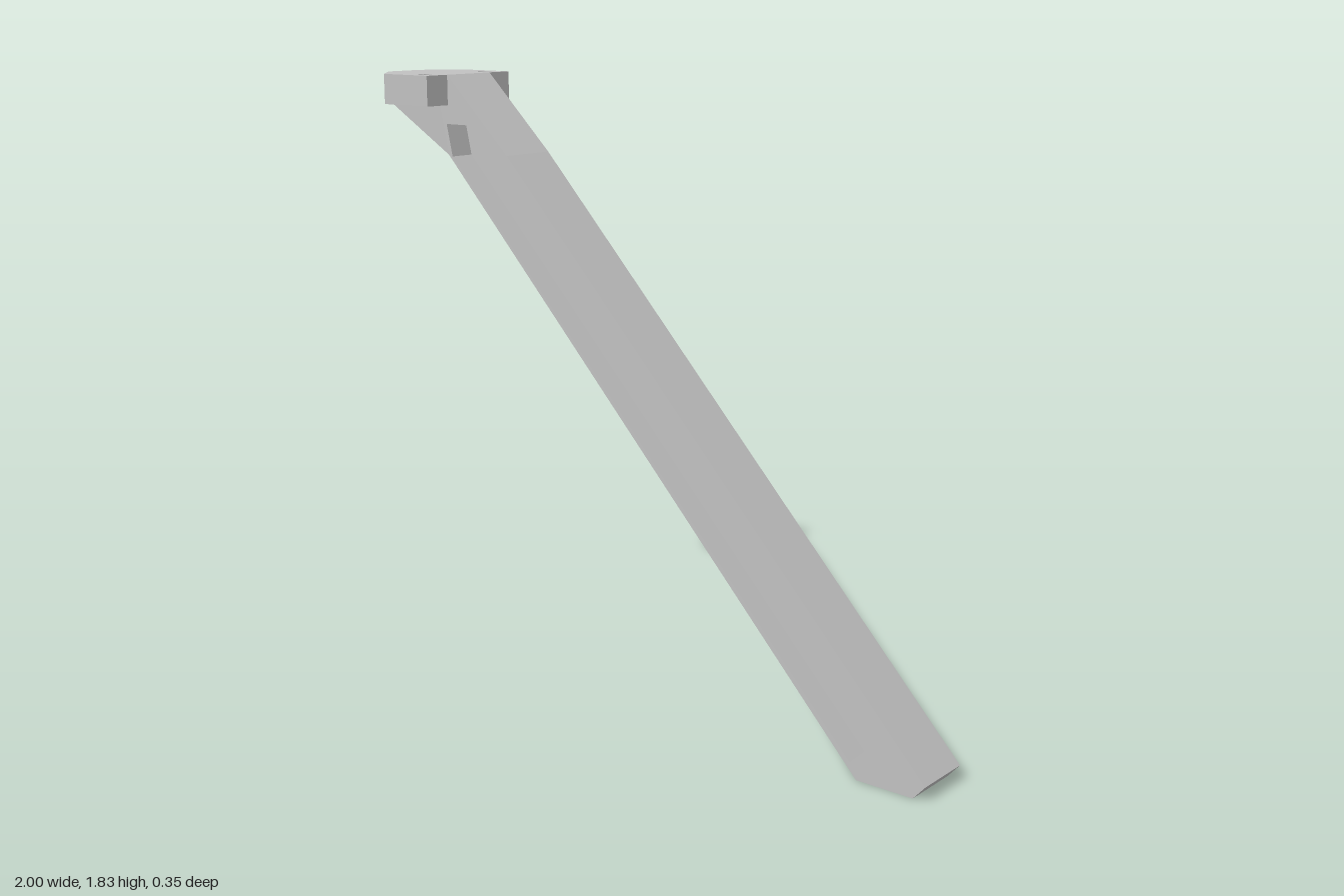
import * as THREE from 'three';

const HALF = 0.09; // half width of the beam
const PLATE_Y = 1.74;

function shapeFrom(points) {
  return new THREE.Shape(points.map(([x, y]) => new THREE.Vector2(x, y)));
}

// Extrude symmetrically about z = 0
function slab(shape, depth) {
  const g = new THREE.ExtrudeGeometry(shape, { depth, bevelEnabled: false, curveSegments: 16 });
  return g.translate(0, 0, -depth / 2);
}

export function createModel() {
  const group = new THREE.Group();
  const grey = new THREE.MeshStandardMaterial({ color: 0xc0c0c0 });
  grey.name = 'light grey';
  const add = (name, geometry) => {
    const mesh = new THREE.Mesh(geometry, grey);
    mesh.name = name;
    group.add(mesh);
  };

  // Beam frame: outline with a pocket cut through, leaving flanges and solid ends
  const pocket = [[-0.727, 1.684], [-0.588, 1.684], [-0.48, 1.577],
    [0.87, 0.15], [0.763, 0.045], [-0.705, 1.588]];
  const outline = shapeFrom([[-0.72, 1.83], [-0.754, PLATE_Y], [-0.72, 1.592],
    [0.785, 0], [0.963, 0], [1, 0.042], [-0.48, 1.603]]);
  outline.holes.push(shapeFrom(pocket));
  add('beamFrame', slab(outline, HALF * 2));

  // Thin web closing the middle of the pocket
  add('web', slab(shapeFrom(pocket), 0.02));

  // Mounting plate with clipped corners and two bolt holes
  const plate = shapeFrom([[-0.72, -0.174], [-0.72, 0.174], [-0.905, 0.174],
    [-1, 0.068], [-1, -0.068], [-0.905, -0.174]]);
  for (const side of [-1, 1]) {
    const hole = new THREE.Path();
    hole.absarc(-0.775, side * 0.125, 0.022, 0, Math.PI * 2, true);
    plate.holes.push(hole);
  }
  const plateGeometry = slab(plate, 0.09).rotateX(-Math.PI / 2);
  add('mountingPlate', plateGeometry.translate(0, PLATE_Y + 0.045, 0));

  // Tapered gusset under the plate: three profile corners on each side
  const gusset = [];
  for (const side of [1, -1]) {
    gusset.push(-1, PLATE_Y, side * 0.066, -0.72, 1.592, side * HALF, -0.754, PLATE_Y, side * HALF);
  }
  const g = new THREE.BufferGeometry();
  g.setAttribute('position', new THREE.Float32BufferAttribute(gusset, 3));
  g.setIndex([0, 1, 2, 3, 5, 4, 0, 3, 4, 0, 4, 1]);
  const gussetGeometry = g.toNonIndexed();
  gussetGeometry.computeVertexNormals();
  add('gusset', gussetGeometry);

  return group;
}
